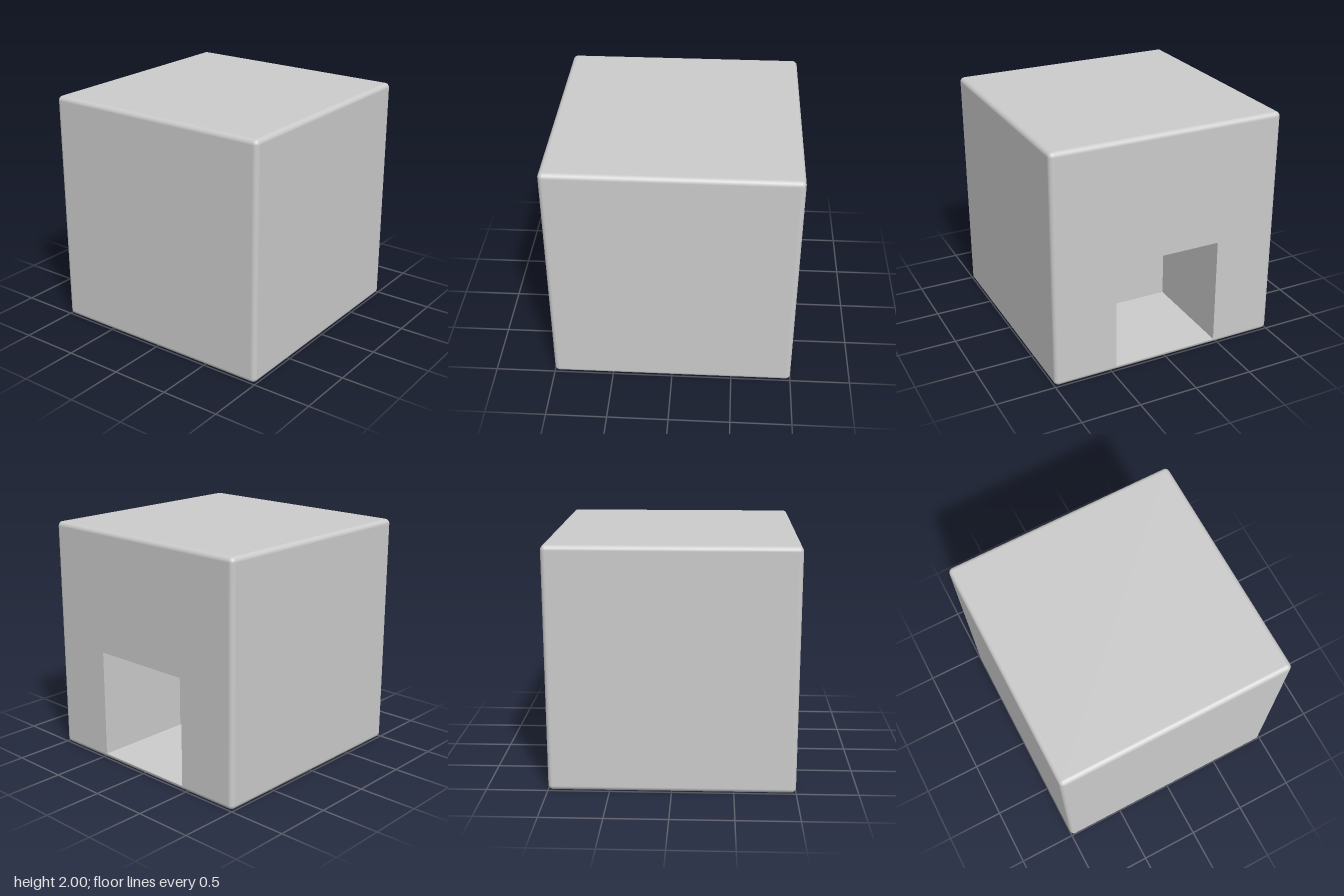
import * as THREE from 'three';

const RADIUS = 0.04;         // edge rounding
const CORE = 1 - RADIUS;     // half size of the flat faces
const STEPS = 4;             // segments per half of a rounded edge
const HOLE_HALF = 0.46;      // half width of the recess
const HOLE_TOP = 0.96;
const HOLE_DEPTH = 0.89;

const material = new THREE.MeshStandardMaterial({ color: 0xcccccc });

// Rounded cube whose flat back face is left open
function roundedShell() {
  const n = 2 * STEPS + 1;
  const geo = new THREE.BoxGeometry(2, 2, 2, n, n, n);
  const pos = geo.attributes.position, nor = geo.attributes.normal;
  const dir = new THREE.Vector3();
  // Grid lines outside the middle cell fan out over the edge curve
  const bend = (v) => {
    const i = Math.round(((Math.abs(v) + 1) / 2) * n) - STEPS - 1;
    return Math.sign(v) * Math.tan((Math.PI / 4) * (i / STEPS));
  };
  for (let i = 0; i < pos.count; i++) {
    const p = [pos.getX(i), pos.getY(i), pos.getZ(i)];
    dir.set(...p.map(bend)).normalize();
    nor.setXYZ(i, dir.x, dir.y, dir.z);
    const q = p.map((v, k) => Math.sign(v) * CORE + RADIUS * dir.getComponent(k));
    pos.setXYZ(i, ...q);
  }
  const src = geo.index.array, kept = [];
  for (let t = 0; t < src.length; t += 3) {
    const tri = [src[t], src[t + 1], src[t + 2]];
    if (!tri.every((v) => nor.getZ(v) < -0.9999)) kept.push(...tri);
  }
  geo.setIndex(kept);
  return geo;
}

// Flat back wall running around the doorway
function backWallGeometry() {
  const top = HOLE_TOP - 1;
  const shape = new THREE.Shape([
    [-CORE, -CORE], [-HOLE_HALF, -CORE], [-HOLE_HALF, top], [HOLE_HALF, top],
    [HOLE_HALF, -CORE], [CORE, -CORE], [CORE, CORE], [-CORE, CORE],
  ].map(([x, y]) => new THREE.Vector2(x, y)));
  return new THREE.ShapeGeometry(shape).rotateY(Math.PI).translate(0, 0, -1);
}

// Inward-facing box without its back side
function recessGeometry() {
  const height = HOLE_TOP - RADIUS;
  const geo = new THREE.BoxGeometry(2 * HOLE_HALF, height, HOLE_DEPTH);
  geo.setIndex(Array.from(geo.index.array).slice(0, 30).reverse());
  geo.translate(0, RADIUS + height / 2 - 1, -1 + HOLE_DEPTH / 2);
  const flat = geo.toNonIndexed();
  flat.computeVertexNormals();
  return flat;
}

export function createModel() {
  const group = new THREE.Group();
  group.name = 'hollowedBlock';
  const add = (name, geo) => {
    const mesh = new THREE.Mesh(geo, material);
    mesh.name = name;
    mesh.position.y = 1;
    group.add(mesh);
  };
  add('outerShell', roundedShell());
  add('backWall', backWallGeometry());
  add('recess', recessGeometry());
  return group;
}
